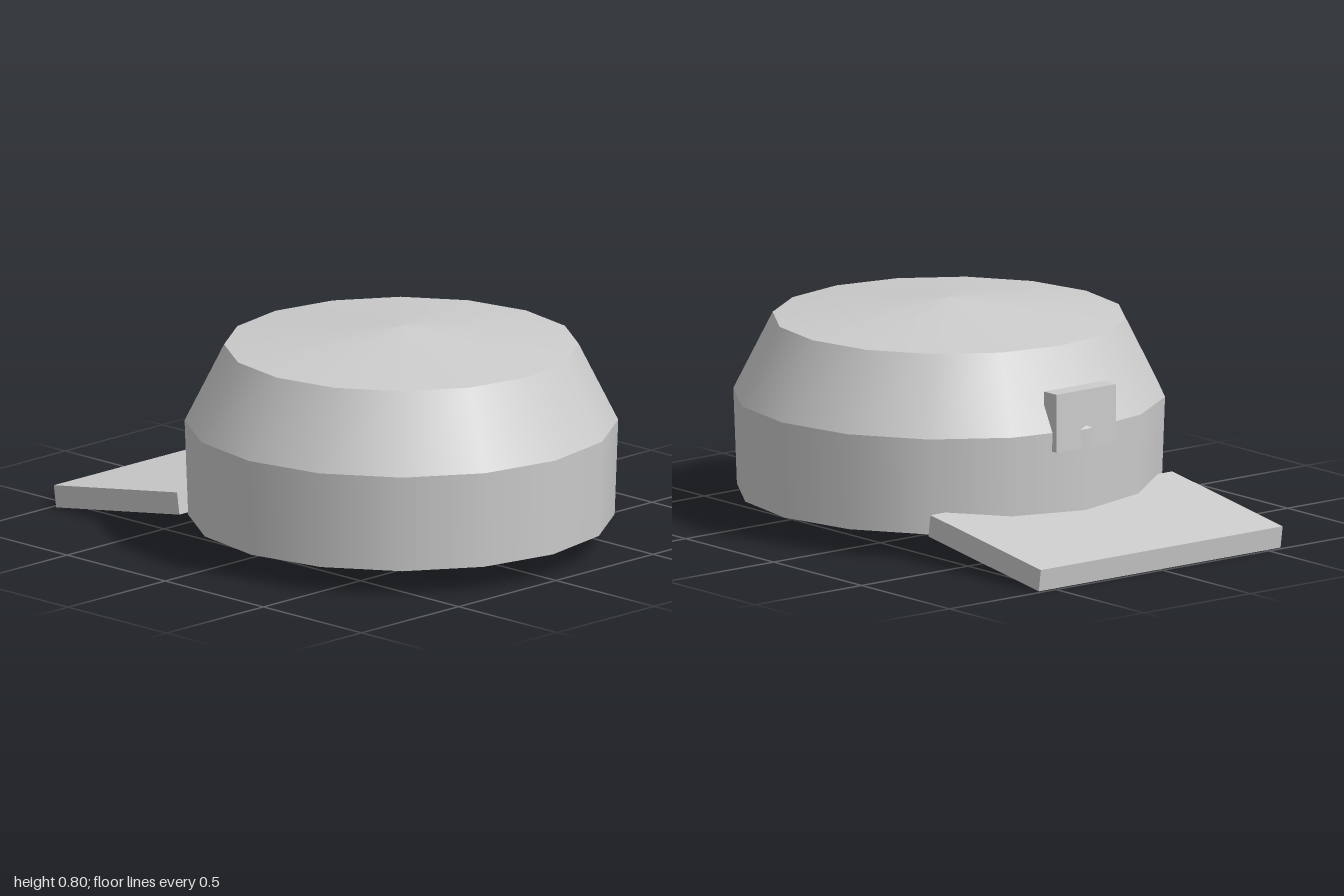
import * as THREE from 'three';

export function createModel() {
  const group = new THREE.Group();
  const grey = new THREE.MeshStandardMaterial({ color: 0xcccccc, side: THREE.DoubleSide });
  grey.name = 'light grey';

  const add = (name, geometry, x, y, z) => {
    const mesh = new THREE.Mesh(geometry, grey);
    mesh.name = name;
    mesh.position.set(x, y, z);
    group.add(mesh);
    return mesh;
  };

  // Hollow crown: open sixteen-sided rings, each with its own smooth normals
  const ring = (name, rTop, rBottom, yBottom, yTop) =>
    add(name, new THREE.CylinderGeometry(rTop, rBottom, yTop - yBottom, 16, 1, true),
      0, (yBottom + yTop) / 2, 0.213);
  ring('headband', 0.785, 0.772, 0.1, 0.455);
  ring('crownSide', 0.642, 0.785, 0.455, 0.74);
  ring('crownTop', 0, 0.642, 0.74, 0.81);

  // Flat brim sloping down towards the back
  const brim = add('brim', new THREE.BoxGeometry(1.135, 0.082, 0.635), 0, 0.093, -0.676);
  brim.rotation.x = -0.15;

  // Small plate above the brim
  add('badgePlate', new THREE.BoxGeometry(0.28, 0.215, 0.07), 0, 0.493, -0.531);

  return group;
}
